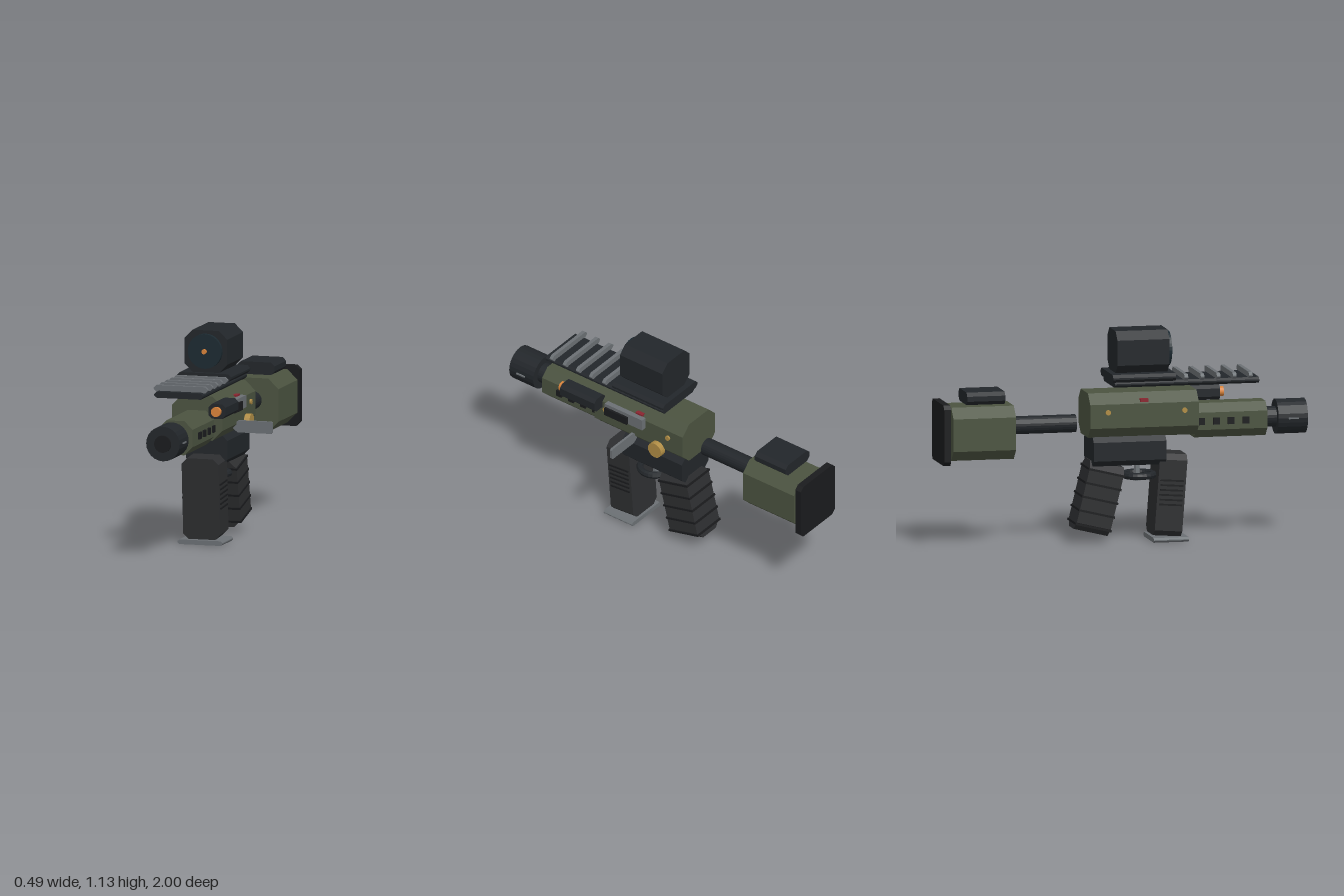
import * as THREE from 'three';

const CX = -0.095; // centre line of the body
const AXIS_Y = 0.638; // bore height

const paint = (color) => new THREE.MeshStandardMaterial({ color, flatShading: true });
const mats = {
  green: paint(0x4b5340), dark: paint(0x22262a), black: paint(0x1a1b1d), polymer: paint(0x2d2e30),
  steel: paint(0x6b7074), brass: paint(0xb08d45), orange: paint(0xd9833a), lens: paint(0x1c2a31), red: paint(0x8a2530),
};

// Block with chamfered corners in x/y, extruded along z and centred
function chamferBlock(w, h, d, c) {
  const a = w / 2, b = h / 2;
  const shape = new THREE.Shape([
    [-a + c, -b], [a - c, -b], [a, -b + c], [a, b - c], [a - c, b], [-a + c, b], [-a, b - c], [-a, -b + c],
  ].map(([x, y]) => new THREE.Vector2(x, y)));
  return new THREE.ExtrudeGeometry(shape, { depth: d, bevelEnabled: false }).translate(0, 0, -d / 2);
}

export function createModel() {
  const model = new THREE.Group();
  model.name = 'toyBlaster';

  const add = (name, geometry, mat, x, y, z, parent = model) => {
    const mesh = new THREE.Mesh(geometry, mats[mat]);
    mesh.name = name;
    mesh.position.set(x, y, z);
    parent.add(mesh);
    return mesh;
  };
  // Chamfered block given by its y and z limits
  const block = (name, mat, w, y0, y1, z0, z1, c, x = CX) =>
    add(name, chamferBlock(w, y1 - y0, z1 - z0, c), mat, x, (y0 + y1) / 2, (z0 + z1) / 2);
  const box = (name, mat, w, h, d, x, y, z, parent) =>
    add(name, new THREE.BoxGeometry(w, h, d), mat, x, y, z, parent);
  // Cylinder along z
  const rod = (name, mat, r, z0, z1, x = CX, y = AXIS_Y, sides = 24) =>
    add(name, new THREE.CylinderGeometry(r, r, z1 - z0, sides).rotateX(Math.PI / 2), mat, x, y, (z0 + z1) / 2);
  // Cylinder along x
  const pin = (name, mat, r, len, x, y, z) =>
    add(name, new THREE.CylinderGeometry(r, r, len, 20).rotateZ(Math.PI / 2), mat, x, y, z);

  // Body
  block('receiver', 'green', 0.28, 0.57, 0.808, -0.205, 0.385, 0.055);
  block('lowerReceiver', 'dark', 0.23, 0.415, 0.575, -0.18, 0.215, 0.03);
  block('handguard', 'green', 0.19, 0.547, 0.73, 0.38, 0.768, 0.045);

  // Barrel and muzzle
  rod('barrel', 'dark', 0.055, 0.76, 0.84);
  rod('muzzle', 'dark', 0.093, 0.83, 0.99);
  rod('muzzleBore', 'black', 0.046, 0.98, 1.0);

  // Details mirrored on both sides
  for (const s of [1, -1]) {
    for (let i = 0; i < 4; i++) {
      box('handguardVent', 'black', 0.02, 0.036, 0.035, CX + s * 0.096, AXIS_Y, 0.41 + i * 0.08);
    }
    box('muzzleSlot', 'steel', 0.012, 0.008, 0.055, CX + s * 0.093, AXIS_Y, 0.912);
    pin('receiverPin', 'brass', 0.014, 0.015, CX + s * 0.143, 0.71, -0.108);
    pin('receiverPin', 'brass', 0.014, 0.015, CX + s * 0.143, 0.71, 0.308);
    box('safetyButton', 'red', 0.03, 0.018, 0.045, CX + s * 0.123, 0.769, 0.09);
  }

  // Ejection port, selector and bolt handle on the left side
  box('boltCover', 'steel', 0.03, 0.065, 0.25, 0.057, 0.737, 0.17);
  box('ejectionPort', 'black', 0.035, 0.045, 0.15, 0.067, 0.728, 0.215);
  pin('selectorDial', 'brass', 0.044, 0.035, 0.058, 0.613, -0.04);
  const handle = new THREE.Shape([[0.01, 0.612], [0.05, 0.58], [0.235, 0.58], [0.243, 0.588], [0.243, 0.638], [0.235, 0.645], [0.055, 0.645]]
    .map(([x, y]) => new THREE.Vector2(x, y)));
  add('boltHandle', new THREE.ExtrudeGeometry(handle, { depth: 0.014, bevelEnabled: false }), 'steel', 0, 0, 0.115);

  // Side-mounted aiming lamp
  block('sideLamp', 'dark', 0.094, 0.717, 0.796, 0.33, 0.56, 0.018, 0.07);
  rod('lampLens', 'orange', 0.026, 0.555, 0.586, 0.07, 0.756);

  // Top rail with cross teeth
  block('topRail', 'dark', 0.27, 0.84, 0.872, -0.07, 0.715, 0.012);
  for (let i = 0; i < 5; i++) {
    const z = 0.316 + i * 0.0875;
    block('railTooth', 'steel', 0.3, 0.868, 0.902, z - 0.01, z + 0.01, 0.014);
  }

  // Sight
  block('sightMount', 'dark', 0.3, 0.868, 0.91, -0.082, 0.26, 0.016);
  block('sightHousing', 'dark', 0.237, 0.91, 1.135, -0.052, 0.23, 0.045);
  rod('sightLens', 'lens', 0.093, 0.22, 0.252, CX, 1.025, 32);
  rod('sightDot', 'orange', 0.013, 0.25, 0.268, CX, 1.025, 16);

  // Stock
  rod('stockTube', 'dark', 0.048, -0.615, -0.255);
  block('stock', 'green', 0.28, 0.472, 0.757, -0.948, -0.608, 0.055);
  block('cheekRest', 'dark', 0.207, 0.768, 0.835, -0.865, -0.658, 0.02);
  block('buttPlate', 'black', 0.296, 0.452, 0.777, -1.0, -0.963, 0.022);

  // Magazine, leaning forward
  const magazine = new THREE.Group();
  magazine.name = 'magazine';
  magazine.position.set(CX, 0.248, 0.243);
  magazine.rotation.x = 0.075;
  model.add(magazine);
  add('magazineBody', chamferBlock(0.205, 0.44, 0.15, 0.03), 'polymer', 0, 0, 0, magazine);
  for (let i = 0; i < 6; i++) {
    box('magazineRib', 'black', 0.215, 0.009, 0.125, 0, -0.05 + i * 0.026, 0, magazine);
  }
  block('magazineBase', 'steel', 0.25, 0, 0.025, 0.145, 0.335, 0.01);

  // Pistol grip with wrap-around ribs
  const grip = new THREE.Group();
  grip.name = 'pistolGrip';
  grip.position.set(CX, 0.24, -0.14);
  grip.rotation.x = 0.24;
  model.add(grip);
  add('gripBody', chamferBlock(0.19, 0.375, 0.19, 0.04), 'polymer', 0, 0, 0, grip);
  for (let i = 0; i < 5; i++) {
    box('gripRib', 'black', 0.198, 0.011, 0.202, 0, -0.155 + i * 0.075, 0, grip);
  }

  // Trigger guard and trigger
  const guard = new THREE.TorusGeometry(0.08, 0.019, 8, 24).rotateX(Math.PI / 2);
  add('triggerGuard', guard, 'dark', CX, 0.352, 0.088);
  const trigger = new THREE.CylinderGeometry(0.014, 0.02, 0.1, 6);
  add('trigger', trigger, 'steel', CX, 0.37, 0.08);

  return model;
}
